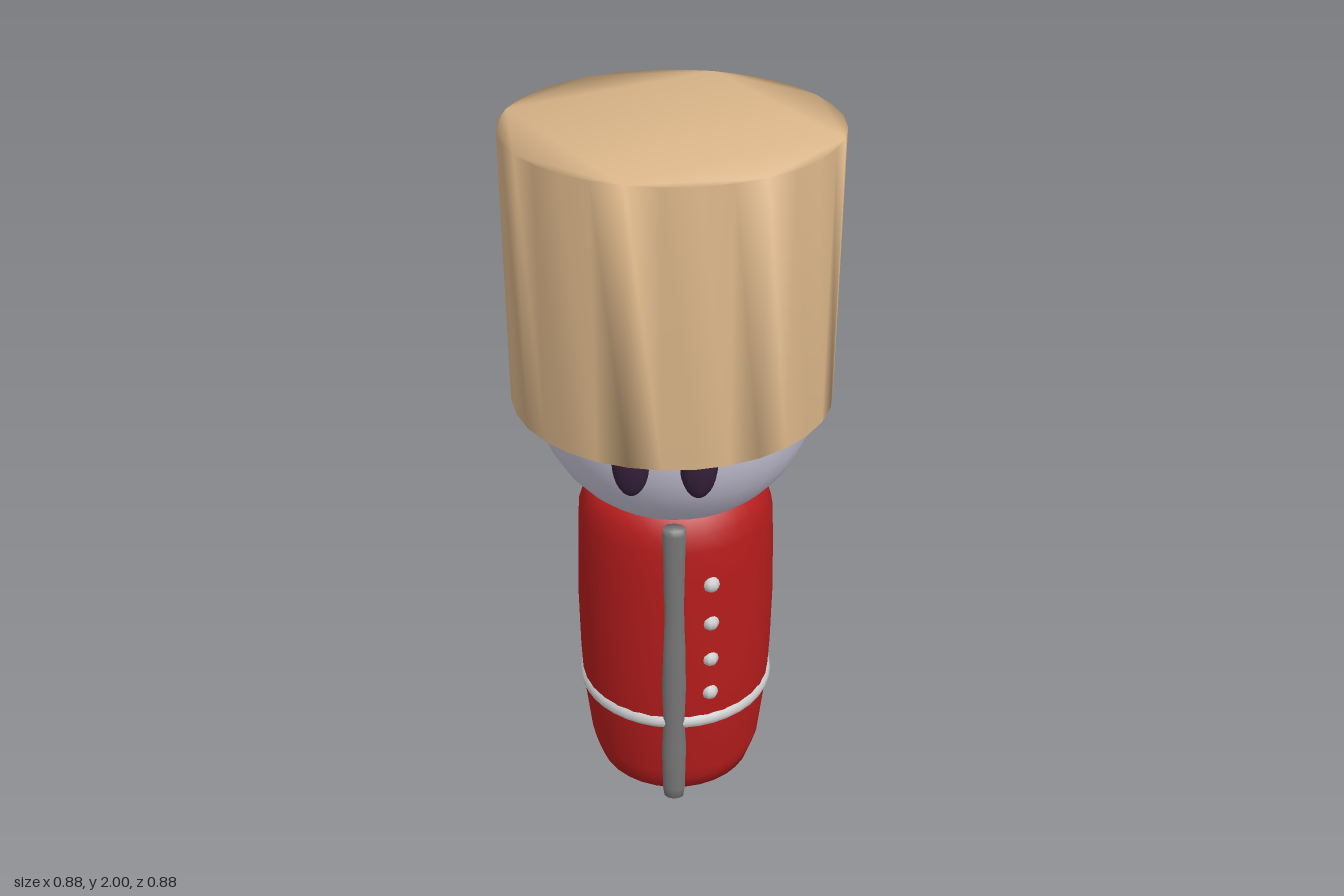
import * as THREE from 'three';
import { mergeVertices } from 'three/addons/utils/BufferGeometryUtils.js';

const CX = 0.01; // the body sits slightly to one side of the hat

function material(color) {
  return new THREE.MeshStandardMaterial({ color });
}

// Weld all vertices so that shading runs smoothly over the rims too
function smooth(geometry) {
  geometry.deleteAttribute('uv');
  geometry.deleteAttribute('normal');
  const welded = mergeVertices(geometry, 1e-4);
  welded.computeVertexNormals();
  return welded;
}

function lathe(points, sides) {
  return smooth(new THREE.LatheGeometry(points.map(([r, y]) => new THREE.Vector2(r, y)), sides));
}

export function createModel() {
  const model = new THREE.Group();
  model.name = 'guard';

  const add = (name, geometry, mat, x = 0, y = 0, z = 0) => {
    const mesh = new THREE.Mesh(geometry, mat);
    mesh.name = name;
    mesh.position.set(x, y, z);
    model.add(mesh);
    return mesh;
  };

  // Tall hat: a 32-sided prism with flat caps and soft shading
  const outline = [];
  for (let i = 0; i < 32; i++) {
    const a = (i / 32) * Math.PI * 2;
    outline.push(new THREE.Vector2(0.442 * Math.sin(a), 0.442 * Math.cos(a)));
  }
  const hat = new THREE.ExtrudeGeometry(new THREE.Shape(outline), { depth: 0.755, bevelEnabled: false });
  hat.rotateX(-Math.PI / 2);
  add('hat', smooth(hat), material(0xdcb78a), 0, 1.245, 0);

  // Head
  add('head', new THREE.SphereGeometry(0.395, 32, 20), material(0xc8c5d8), CX, 1.28, 0);

  // Eyes, partly under the hat
  const eyeMaterial = material(0x35203a);
  for (const side of [-1, 1]) {
    const eye = add(side > 0 ? 'leftEye' : 'rightEye', new THREE.SphereGeometry(1, 20, 14),
      eyeMaterial, 0.003 + side * 0.088, 1.23, 0.375);
    eye.scale.set(0.05, 0.103, 0.036);
    eye.rotation.y = side * 0.12;
  }

  // Coat, closed at top and bottom
  add('coat', lathe([
    [0, 0.004], [0.2, 0.004], [0.232, 0.004], [0.247, 0.05], [0.257, 0.085], [0.278, 0.27],
    [0.284, 0.4], [0.287, 0.6], [0.282, 0.78], [0.278, 0.88], [0.264, 0.925], [0.243, 0.968],
    [0.2, 0.97], [0, 0.97],
  ], 32), material(0xb51c1c), CX, 0, 0);

  // Belt
  const belt = add('belt', new THREE.TorusGeometry(0.262, 0.027, 12, 40), material(0xcccccc), CX, 0.293, 0);
  belt.rotation.x = Math.PI / 2;

  // Front strip with a slightly uneven width
  const strip = add('frontStrip', lathe([
    [0, 0.015], [0.029, 0.015], [0.034, 0.05], [0.037, 0.2], [0.032, 0.3], [0.036, 0.42],
    [0.034, 0.58], [0.029, 0.7], [0.032, 0.88], [0.034, 0.945], [0.031, 0.965], [0, 0.965],
  ], 10), material(0x777777), 0.022, 0, 0.275);
  strip.scale.z = 0.68;

  // Row of buttons on the left side of the coat
  const buttonMaterial = material(0xcccccc);
  [0.395, 0.515, 0.64, 0.77].forEach((y, i) => {
    add('button' + (i + 1), new THREE.SphereGeometry(0.025, 8, 6), buttonMaterial, 0.123, y, 0.253);
  });

  return model;
}
